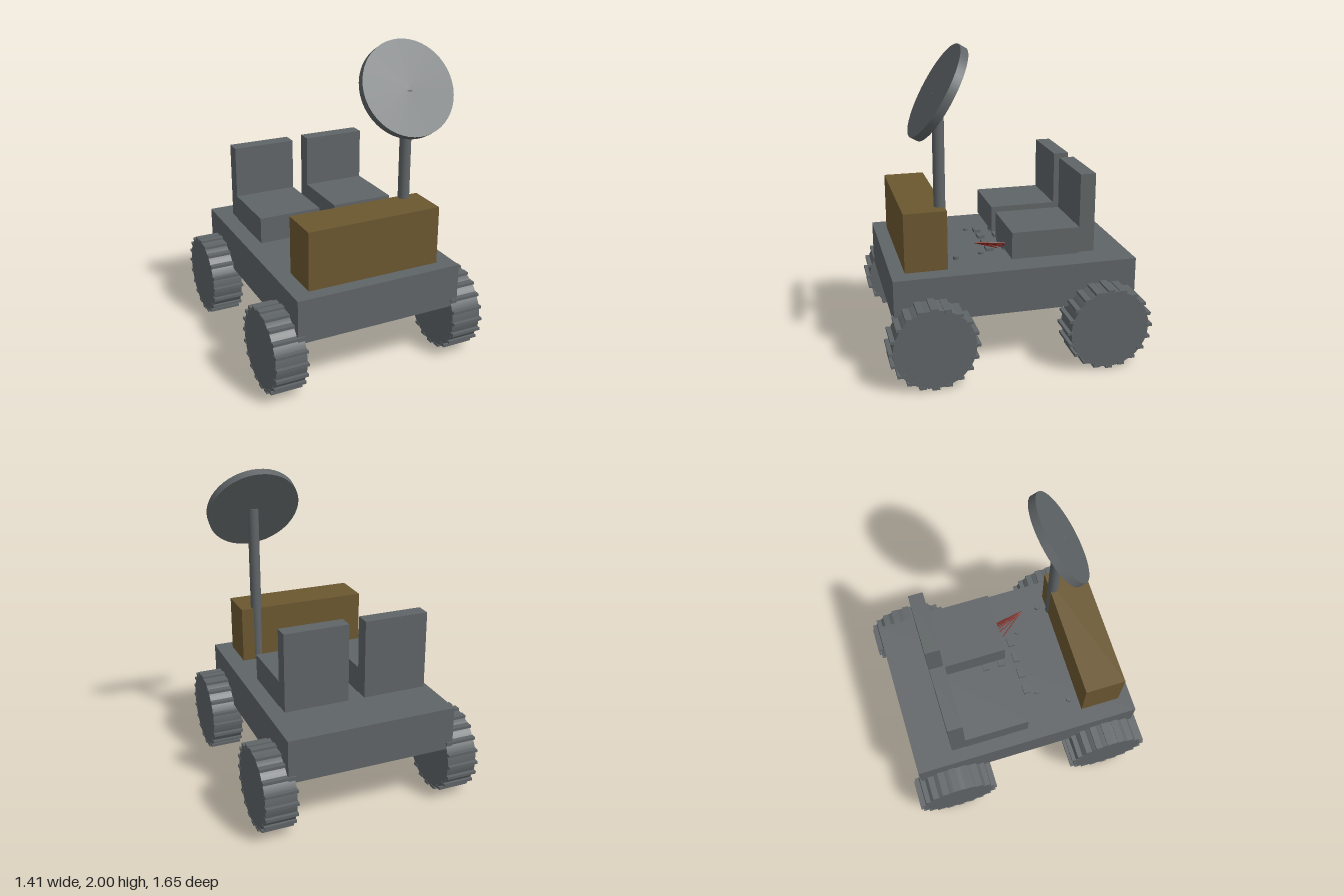
import * as THREE from 'three';

const paint = (name, color) => {
  const m = new THREE.MeshStandardMaterial({ color });
  m.name = name;
  return m;
};

export function createModel() {
  const grey = paint('metal grey', 0x5f6466);
  const gold = paint('foil gold', 0x6b5730);
  const red = paint('antenna red', 0x7a2018);
  const model = new THREE.Group();
  model.name = 'rover';

  const add = (parent, name, geometry, material, x = 0, y = 0, z = 0) => {
    const mesh = new THREE.Mesh(geometry, material);
    mesh.name = name;
    mesh.position.set(x, y, z);
    parent.add(mesh);
    return mesh;
  };
  // Box given by its minimum and maximum corners
  const box = (parent, name, material, a, b) => add(parent, name,
    new THREE.BoxGeometry(b[0] - a[0], b[1] - a[1], b[2] - a[2]), material,
    (a[0] + b[0]) / 2, (a[1] + b[1]) / 2, (a[2] + b[2]) / 2);
  // Round rod between two points
  const rod = (parent, name, material, a, b, radius, sides = 16) => {
    const from = new THREE.Vector3(...a), to = new THREE.Vector3(...b);
    const dir = to.clone().sub(from);
    const mesh = add(parent, name, new THREE.CylinderGeometry(radius, radius, dir.length(), sides), material);
    mesh.position.copy(from).add(to).multiplyScalar(0.5);
    mesh.quaternion.setFromUnitVectors(new THREE.Vector3(0, 1, 0), dir.normalize());
    return mesh;
  };

  // Chassis and equipment case
  box(model, 'chassis', grey, [-0.547, 0.376, -0.767], [0.547, 0.656, 0.767]);
  box(model, 'equipmentCase', gold, [-0.438, 0.656, 0.415], [0.438, 1.03, 0.68]);

  // Wheels with upright cleats, and sloping axles
  const tyre = new THREE.CylinderGeometry(0.253, 0.253, 0.2, 32).rotateZ(Math.PI / 2);
  const cleat = new THREE.BoxGeometry(0.205, 0.018, 0.045);
  for (const sx of [-1, 1]) {
    for (const sz of [-1, 1]) {
      const wheel = new THREE.Group();
      wheel.name = 'wheel';
      wheel.position.set(sx * 0.604, 0.264, sz * 0.549);
      add(wheel, 'tyre', tyre, grey);
      for (let i = 0; i < 20; i++) {
        const t = i * Math.PI / 10;
        add(wheel, 'cleat', cleat, grey, 0, 0.255 * Math.sin(t), 0.255 * Math.cos(t));
      }
      model.add(wheel);
      rod(model, 'axle', grey, [sx * 0.56, 0.274, sz * 0.549], [0, 0.408, sz * 0.549], 0.036);
    }
  }

  // Pair of seats
  for (const sx of [-1, 1]) {
    const seat = new THREE.Group();
    seat.name = 'seat';
    seat.position.x = sx * 0.262;
    box(seat, 'cushion', grey, [-0.208, 0.696, -0.412], [0.208, 0.867, 0.02]);
    box(seat, 'backrest', grey, [-0.208, 0.703, -0.51], [0.208, 1.207, -0.412]);
    model.add(seat);
  }

  // Mast and tilted dish
  rod(model, 'mast', grey, [0.328, 0.656, 0.44], [0.328, 1.722, 0.44], 0.036, 24);
  const dish = add(model, 'dish',
    new THREE.CylinderGeometry(0.305, 0.305, 0.052, 48), grey, 0.327, 1.725, 0.44);
  dish.rotation.x = Math.PI / 3;

  // Deck switches and knobs
  const key = new THREE.BoxGeometry(0.068, 0.02, 0.045);
  for (const x of [-0.19, -0.07, 0.05, 0.17]) {
    for (const z of [0.095, -0.015, -0.125]) add(model, 'switch', key, grey, x, 0.666, z);
  }
  const knob = new THREE.CylinderGeometry(0.018, 0.018, 0.02, 16);
  for (const sx of [-1, 1]) {
    for (const sz of [-1, 1]) {
      add(model, 'deckKnob', knob, grey, sx * 0.23, 0.659, sz * 0.16);
      add(model, 'raisedKnob', knob, grey, sx * 0.355, 0.696, sz * 0.348);
    }
  }

  // Fan of thin antenna wires
  for (let i = 0; i < 7; i++) {
    rod(model, 'antennaWire', red, [0.325, 0.77, 0.22], [0.215 + i * 0.006, 0.682, 0.052 - i * 0.07], 0.004, 6);
  }

  return model;
}
